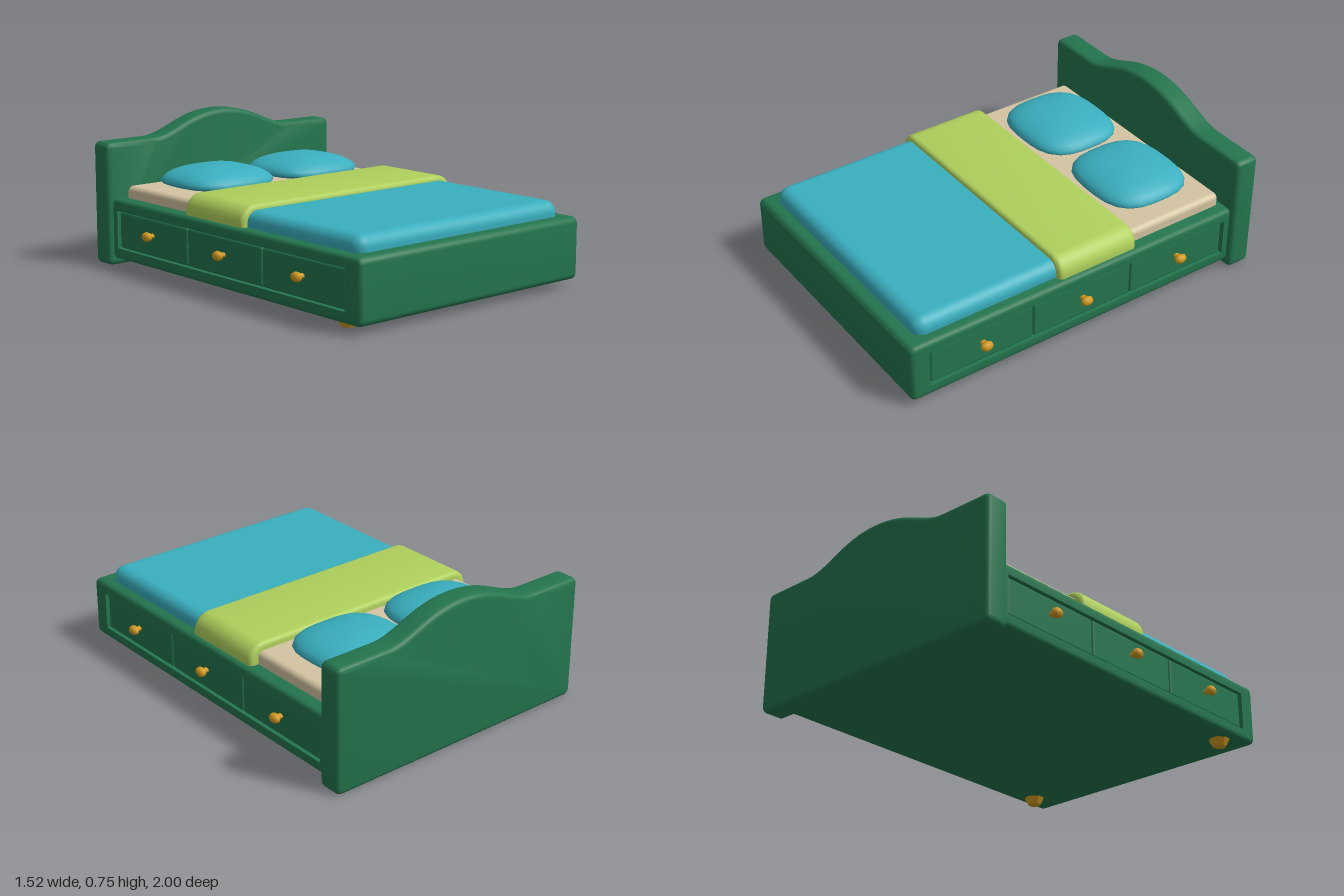
import * as THREE from 'three';
import { toCreasedNormals, mergeVertices } from 'three/addons/utils/BufferGeometryUtils.js';
import { RoundedBoxGeometry } from 'three/addons/geometries/RoundedBoxGeometry.js';

const mat = (name, color) => Object.assign(new THREE.MeshStandardMaterial({ color }), { name });

// Rectangle outline with rounded bottom (rb) and top (rt) corners
function roundedRect(x0, y0, x1, y1, rb, rt) {
  const s = new THREE.Shape();
  s.moveTo(x0 + rb, y0);
  s.lineTo(x1 - rb, y0);
  s.quadraticCurveTo(x1, y0, x1, y0 + rb);
  s.lineTo(x1, y1 - rt);
  s.bezierCurveTo(x1, y1 - rt * 0.45, x1 - rt * 0.45, y1, x1 - rt, y1);
  s.lineTo(x0 + rt, y1);
  s.bezierCurveTo(x0 + rt * 0.45, y1, x0, y1 - rt * 0.45, x0, y1 - rt);
  s.lineTo(x0, y0 + rb);
  s.quadraticCurveTo(x0, y0, x0 + rb, y0);
  return s;
}

// Extrusion with soft edges, centred on z = 0; the outline grows by the bevel
function softExtrude(shape, total, bevel, curveSegments = 6) {
  const g = new THREE.ExtrudeGeometry(shape, {
    depth: total - 2 * bevel, bevelThickness: bevel, bevelSize: bevel, bevelSegments: 4, curveSegments,
  });
  return g.translate(0, 0, bevel - total / 2);
}

export function createModel() {
  const green = mat('green painted wood', 0x24754e);
  const teal = mat('teal fabric', 0x3aafbf);
  const lime = mat('lime fabric', 0xafd05c);
  const beige = mat('beige sheet', 0xd4c4a2);
  const gold = mat('gold metal', 0xd39a22);

  const model = new THREE.Group();
  model.name = 'bed';
  const add = (name, geometry, material, x = 0, y = 0, z = 0) => {
    const mesh = new THREE.Mesh(geometry, material);
    mesh.name = name;
    mesh.position.set(x, y, z);
    model.add(mesh);
    return mesh;
  };

  // Headboard with a raised centre curve
  const b = 0.025, hw = 0.745 - b, low = 0.635 - b, high = 0.75 - b, r = 0.008;
  const head = new THREE.Shape();
  head.moveTo(-hw + r, b);
  head.lineTo(hw - r, b);
  head.quadraticCurveTo(hw, b, hw, b + r);
  head.lineTo(hw, low - r);
  head.quadraticCurveTo(hw, low, hw - r, low);
  head.lineTo(0.46, low);
  head.bezierCurveTo(0.31, low, 0.22, high, 0, high);
  head.bezierCurveTo(-0.22, high, -0.31, low, -0.46, low);
  head.lineTo(-hw + r, low);
  head.quadraticCurveTo(-hw, low, -hw, low - r);
  head.lineTo(-hw, b + r);
  head.quadraticCurveTo(-hw, b, -hw + r, b);
  add('headboard', toCreasedNormals(softExtrude(head, 0.128, b, 12), 0.7), green, 0, 0, -0.936);

  // Bed frame: side outline with a drawer opening running through
  const hole = { x0: -0.9, x1: 0.84, y0: 0.095, y1: 0.29 };
  const side = roundedRect(-1 + b, 0.037 + b, 0.93, 0.347 - b, r, r);
  side.holes.push(new THREE.Path([[hole.x0, hole.y0], [hole.x0, hole.y1], [hole.x1, hole.y1], [hole.x1, hole.y0]]
    .map(([x, y]) => new THREE.Vector2(x, y))));
  const frame = softExtrude(side, 1.43, b);
  const p = frame.attributes.position;
  // Keep the opening square while the outer edges stay soft
  for (let i = 0; i < p.count; i++) {
    const x = p.getX(i), y = p.getY(i), e = 1e-4;
    if (x > hole.x0 - e && x < hole.x1 + e && y > hole.y0 - e && y < hole.y1 + e) {
      p.setXY(i, x < 0 ? hole.x0 : hole.x1, y < 0.19 ? hole.y0 : hole.y1);
    }
  }
  frame.rotateY(Math.PI / 2);
  add('bedFrame', toCreasedNormals(frame, 0.7), green);

  // Drawers and knobs on both sides
  const drawerGeo = new RoundedBoxGeometry(0.05, 0.188, 0.572, 3, 0.012);
  const knobGeo = new THREE.LatheGeometry(
    [[0.018, 0], [0.014, 0.016], [0.026, 0.024], [0.033, 0.036], [0.028, 0.05], [0.015, 0.058], [0, 0.06]]
      .map(([x, y]) => new THREE.Vector2(x, y)), 10);
  knobGeo.rotateZ(-Math.PI / 2).scale(1, 0.76, 1);
  for (const s of [1, -1]) {
    for (const z of [0.605, 0.03, -0.545]) {
      add('drawer', drawerGeo, green, s * 0.68, 0.192, z);
      const knob = add('drawerKnob', knobGeo, gold, s * 0.702, 0.203, z);
      knob.rotation.y = s > 0 ? 0 : Math.PI;
    }
    // Front feet
    const foot = add('frontFoot', toCreasedNormals(new THREE.CylinderGeometry(0.055, 0.033, 0.04, 8), 0.5), gold,
      s * 0.622, 0.02, 0.82);
    foot.rotation.y = Math.PI / 8;
  }

  // Mattress and cover
  add('mattress', new RoundedBoxGeometry(1.285, 0.115, 1.72, 4, 0.03), beige, 0, 0.3525, 0);
  add('bedCover', new RoundedBoxGeometry(1.314, 0.13, 1.08, 5, 0.06), teal, 0, 0.36, 0.39);

  // Folded throw wrapped over the bed
  const c = 0.024;
  const wrap = roundedRect(-0.69 + c, 0.305 + c, 0.69 - c, 0.45 - c, 0.004, 0.064);
  add('foldedThrow', toCreasedNormals(softExtrude(wrap, 0.455, c, 8), 0.7), lime, 0, 0, -0.0725);

  // Pillows: sphere squared off in plan, flatter below than above
  const pillow = new THREE.SphereGeometry(1, 28, 16);
  const q = pillow.attributes.position;
  for (let i = 0; i < q.count; i++) {
    const x = q.getX(i), y = q.getY(i), z = q.getZ(i), rho = Math.hypot(x, z);
    // The poles stay on the axis
    const f = rho < 1e-6 ? 0 : rho / Math.cbrt(Math.abs(x) ** 3 + Math.abs(z) ** 3);
    q.setXYZ(i, x * f * 0.266, y * (y > 0 ? 0.087 : 0.035), z * f * 0.245);
  }
  pillow.deleteAttribute('uv');
  pillow.deleteAttribute('normal');
  const pillowGeo = mergeVertices(pillow);
  pillowGeo.computeVertexNormals();
  for (const s of [1, -1]) add('pillow', pillowGeo, teal, s * 0.284, 0.438, -0.563);

  return model;
}
